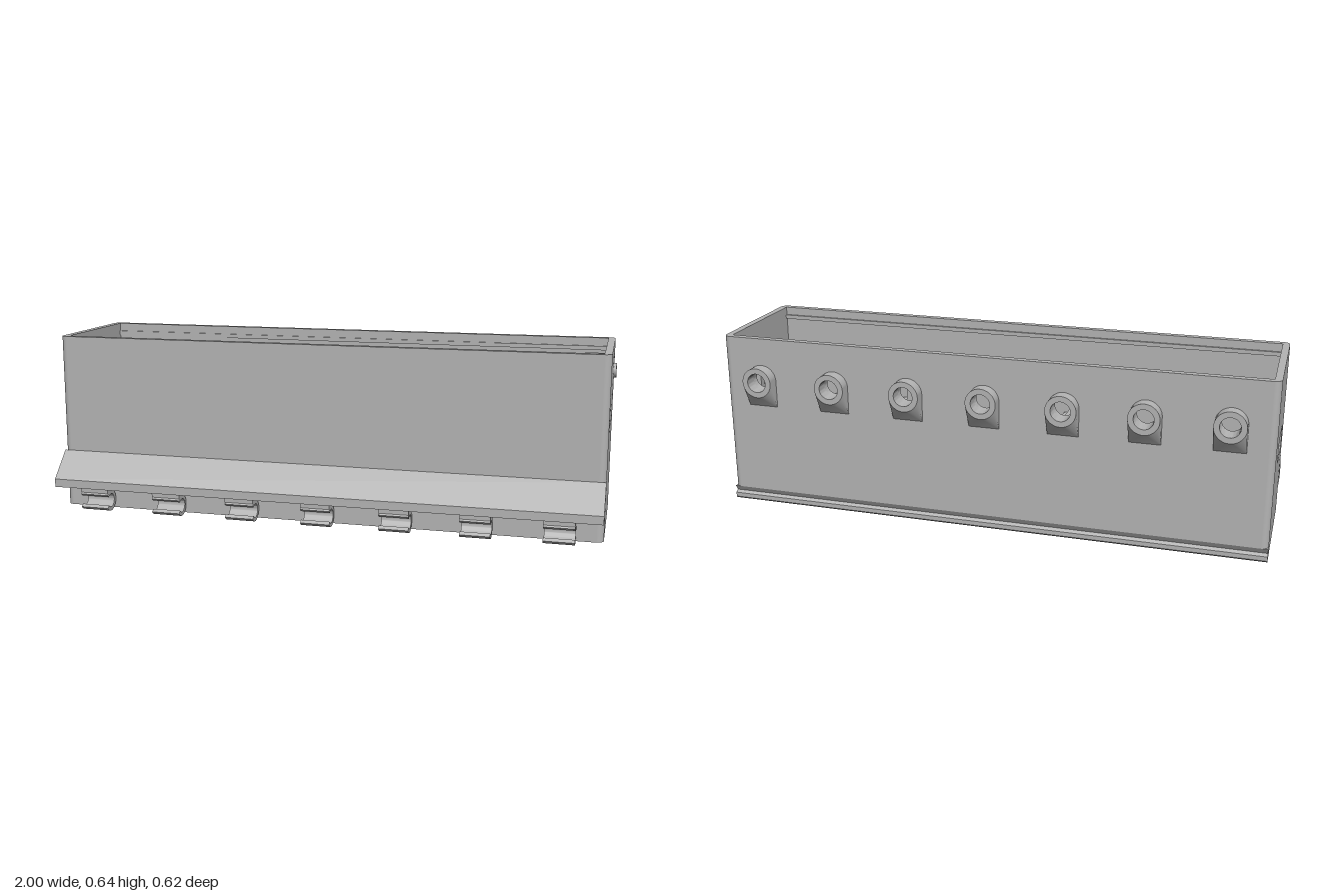
import * as THREE from 'three';
import { toCreasedNormals } from 'three/addons/utils/BufferGeometryUtils.js';

const X0 = -1, X1 = 0.99, Z0 = -0.265, Z1 = 0.22, H = 0.64, T = 0.025;
const FLOOR = 0.265, PITCH = 0.2825;
const IX0 = X0 + T, IX1 = X1 - T, IZ0 = Z0 + T, IZ1 = Z1 - T;

export function createModel() {
  const model = new THREE.Group();
  const grey = new THREE.MeshStandardMaterial({ color: 0xb4b4b4 });
  grey.name = 'grey plastic';

  const add = (name, geo, x = 0, y = 0, z = 0) => {
    const mesh = new THREE.Mesh(geo, grey);
    mesh.name = name;
    mesh.position.set(x, y, z);
    model.add(mesh);
    return mesh;
  };
  // box given by its lower and upper limits
  const box = (name, x0, x1, y0, y1, z0, z1) =>
    add(name, new THREE.BoxGeometry(x1 - x0, y1 - y0, z1 - z0), (x0 + x1) / 2, (y0 + y1) / 2, (z0 + z1) / 2);
  const poly = (pts) => new THREE.Shape(pts.map(([a, b]) => new THREE.Vector2(a, b)));
  const rect = (a0, a1, b0, b1) => poly([[a0, b0], [a1, b0], [a1, b1], [a0, b1]]);
  const ellipse = (x, y, rx, ry = rx) => new THREE.Path().absellipse(x, y, rx, ry, 0, Math.PI * 2);
  const extrude = (shape, depth) =>
    new THREE.ExtrudeGeometry(shape, { depth, bevelEnabled: false, curveSegments: 20 });
  // shape drawn in (z, y), running from xMax towards -x
  const alongX = (name, shape, xMax, depth) =>
    add(name, toCreasedNormals(extrude(shape, depth).rotateY(-Math.PI / 2), 0.6), xMax);
  // shape drawn in (x, z), running down from yTop
  const alongY = (name, shape, yTop, depth) =>
    add(name, toCreasedNormals(extrude(shape, depth).rotateX(Math.PI / 2), 0.6), 0, yTop);

  const bays = Array.from({ length: 7 }, (_, i) => -0.0025 + (i - 3) * PITCH);

  // outer walls
  box('frontWall', IX0, IX1, 0, H, IZ1, Z1);
  const back = rect(IX0, IX1, 0.05, H);
  bays.forEach((x) => back.holes.push(ellipse(x, 0.485, 0.035)));
  add('backWall', toCreasedNormals(extrude(back, T), 0.6), 0, 0, Z0);

  const right = rect(IZ0, IZ1, 0, H);
  [[0, 0], [0.039, 0], [-0.039, 0], [0, 0.039], [0, -0.039]].forEach(([dz, dy]) =>
    right.holes.push(ellipse(0.076 + dz, 0.385 + dy, 0.0135)));
  right.holes.push(poly([[-0.073, 0.367], [-0.073, 0.59], [-0.207, 0.59], [-0.207, 0.367],
    [-0.199, 0.367], [-0.199, 0.582], [-0.081, 0.582], [-0.081, 0.367]]));
  alongX('buttonEndWall', right, X1, T);

  const left = rect(IZ0, IZ1, 0, H);
  left.holes.push(rect(-0.08, 0.11, 0.285, 0.37));
  alongX('windowEndWall', left, IX0, T);

  // rounded upright corners
  [[IX1, IZ1, 0, 0], [IX1, IZ0, 1, 0.05], [IX0, IZ0, 2, 0.05], [IX0, IZ1, 3, 0]].forEach(([x, z, q, y0]) =>
    add('corner', new THREE.CylinderGeometry(T, T, H - y0, 8, 1, false, q * Math.PI / 2, Math.PI / 2), x, (H + y0) / 2, z));

  // notched strip along the bottom of the back
  alongX('backNotch', poly([[IZ0, 0], [IZ0, 0.05], [Z0, 0.05], [-0.253, 0.03], [Z0, 0.022],
    [Z0, 0.006], [-0.26, 0]]), X1, X1 - X0);

  // lid ridges just inside the rim
  box('frontLidRidge', IX0, IX1, 0.595, 0.61, IZ1 - 0.008, IZ1);
  box('backLidRidge', IX0, IX1, 0.595, 0.61, IZ0, IZ0 + 0.006);

  // floor and bottom flange, pierced by matching slots, and the bay dividers
  const drill = (shape) => {
    bays.forEach((x) => [-0.119, 0.119].forEach((d) => shape.holes.push(ellipse(x + d, -0.221, 0.012, 0.008))));
    return shape;
  };
  alongY('floor', drill(rect(IX0, IX1, IZ0, IZ1)), FLOOR, 0.015);
  alongY('bottomFlange', drill(rect(IX0, IX1, IZ0, -0.2)), 0.012, 0.012);
  bays.slice(1).forEach((x) =>
    box('divider', x - PITCH / 2 - 0.006, x - PITCH / 2 + 0.006, 0, FLOOR - 0.01, IZ0, IZ1));

  // back spouts: round outside, widening to a square foot at the wall
  const ring = new THREE.Shape().absarc(0, 0, 0.055, 0, Math.PI * 2);
  ring.holes.push(ellipse(0, 0, 0.035));
  const spout = extrude(ring, 0.045);
  const p = spout.attributes.position;
  for (let i = 0; i < p.count; i++) {
    const x = p.getX(i), y = p.getY(i);
    if (p.getZ(i) > 0.04 && Math.hypot(x, y) > 0.05 && y < -0.001) {
      p.setXY(i, x < -0.0001 ? -0.055 : 0.055, -0.1);
    }
  }
  const spoutGeo = toCreasedNormals(spout, 0.6);
  bays.forEach((x) => add('spout', spoutGeo, x, 0.485, -0.31));

  // front ledge and the open ring clips hanging under it
  alongX('frontLedge', poly([[Z1, 0.088], [0.31, 0.088], [0.31, 0.118], [Z1, 0.21]]), X1, X1 - X0);
  const a = 0.68;
  const clip = new THREE.Shape();
  clip.absarc(0.265, 0.039, 0.039, a, Math.PI * 2 - a, false);
  clip.absarc(0.265, 0.039, 0.025, Math.PI * 2 - a, a, true);
  bays.forEach((x) => {
    alongX('ringClip', clip, x + 0.053, 0.106);
    box('clipNeck', x - 0.053, x + 0.053, 0.07, 0.09, 0.238, 0.294);
  });

  // button and the switch holder behind it
  add('button', new THREE.CylinderGeometry(0.026, 0.026, 0.02, 32).rotateZ(Math.PI / 2), 0.99, 0.537, -0.14);
  box('switchHolderBack', 0.88, 0.9, FLOOR, 0.59, -0.165, -0.115);
  [-0.2, -0.115].forEach((z) => box('switchHolderArm', 0.885, 0.955, FLOOR, 0.59, z, z + 0.025));

  // curved cradle behind the round vent holes
  const cradle = new THREE.Shape();
  cradle.moveTo(-0.02, FLOOR);
  cradle.lineTo(0.17, FLOOR);
  cradle.lineTo(0.17, 0.38);
  cradle.absarc(0.076, 0.38, 0.078, 0, Math.PI, true);
  cradle.lineTo(-0.02, 0.38);
  alongX('cradle', cradle, 0.957, 0.077);

  // mounting posts, snap hooks, upright tabs and pegs on the floor
  [[-0.21, -0.085], [-0.21, 0.158], [0.24, -0.085], [0.24, 0.158],
    [0.46, -0.16], [0.46, 0.158], [0.725, -0.16], [0.725, 0.158]].forEach(([x, z]) =>
    box('mountingPost', x - 0.025, x + 0.025, FLOOR, 0.31, z - 0.028, z + 0.028));
  [[0.275, -0.083], [0.275, 0.163], [0.428, -0.16], [0.428, 0.16]].forEach(([x, z]) =>
    box('snapHook', x - 0.012, x + 0.012, FLOOR, 0.4, z - 0.017, z + 0.017));
  [[-0.31, 0], [-0.24, 0.04], [0.76, 0]].forEach(([x, z]) =>
    box('uprightTab', x - 0.012, x + 0.012, FLOOR, 0.36, z - 0.037, z + 0.037));
  [-0.135, 0.135].forEach((z) =>
    add('peg', new THREE.CylinderGeometry(0.011, 0.011, 0.05, 16), -0.35, FLOOR + 0.025, z));
  box('cableRail', IX0, -0.315, FLOOR, 0.3, -0.198, -0.188);

  return model;
}
